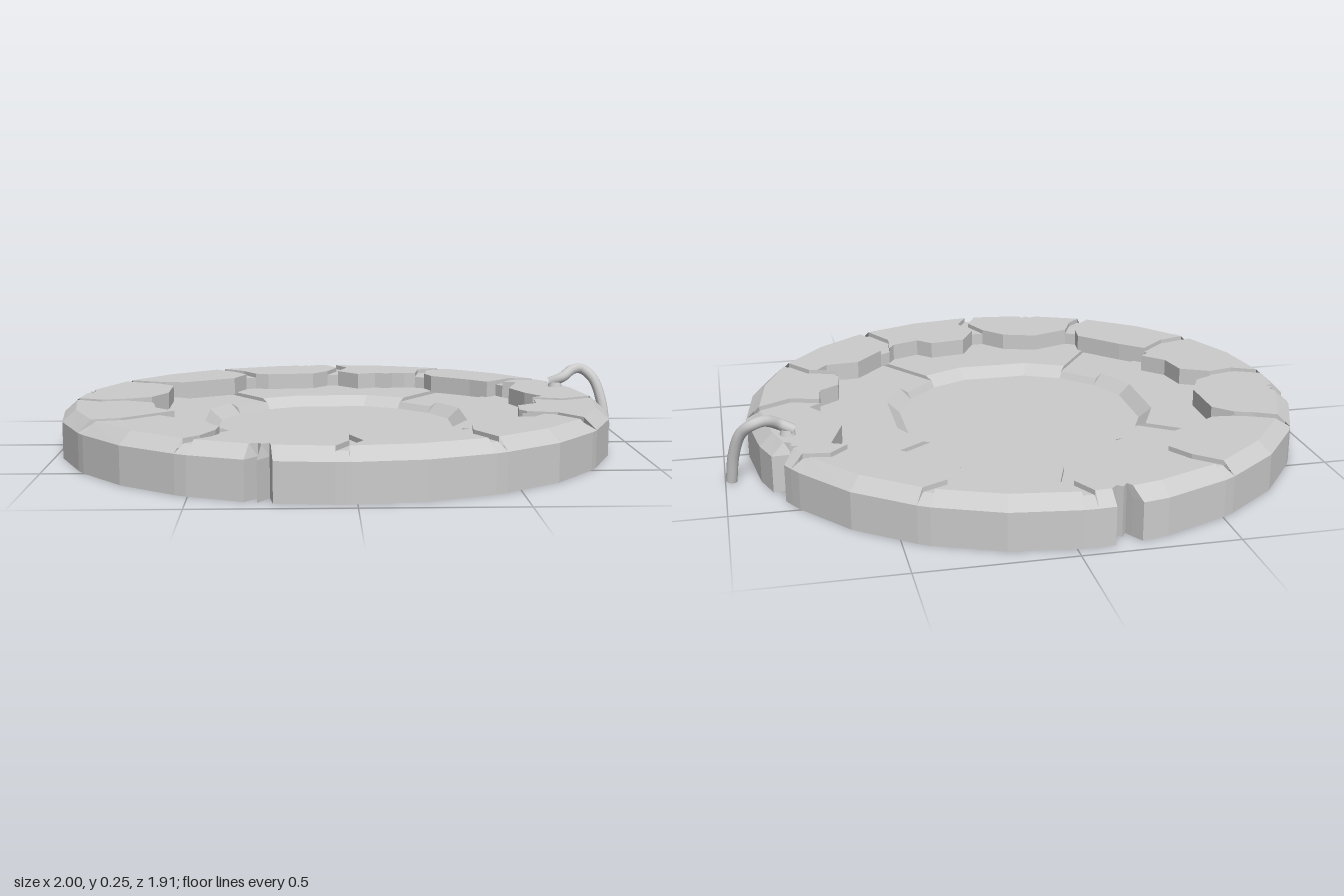
import * as THREE from 'three';

const CX = -0.043, R = 0.957, RIM = 0.912, TOP = 0.165;
const stone = new THREE.MeshStandardMaterial({ color: 0xcccccc, flatShading: true, side: THREE.DoubleSide });
const metal = new THREE.MeshStandardMaterial({ color: 0xcccccc });
const rad = THREE.MathUtils.degToRad;

// Clockwise from the back, seen from above
const polar = (deg, r) => new THREE.Vector2(Math.sin(rad(deg)) * r, -Math.cos(rad(deg)) * r);
const local = ([x, z]) => new THREE.Vector2(x - CX, z);

function meshFrom(tris, name, material = stone) {
  const g = new THREE.BufferGeometry();
  g.setAttribute('position', new THREE.Float32BufferAttribute(tris.flat(), 3));
  g.computeVertexNormals();
  const m = new THREE.Mesh(g, material);
  m.name = name;
  return m;
}
const quad = (out, a, b, c, d) => out.push(a, b, c, a, c, d);

// Open-bottomed block: chamfered outer rim down to the ground, short walls elsewhere.
// The first outerCount points of the clockwise outline lie on the rim.
function block(outline, outerCount, top, innerBase, name) {
  const out = [];
  const at = (p, y) => [p.x, y, p.y];
  const upper = outline.map((p, i) =>
    i < outerCount && p.length() > RIM ? p.clone().setLength(RIM - (TOP - top) * 0.3) : p.clone());
  outline.forEach((p, i) => {
    const j = (i + 1) % outline.length, q = outline[j];
    if (i < outerCount - 1) {
      quad(out, at(p, 0), at(p, 0.125), at(q, 0.125), at(q, 0));
      quad(out, at(p, 0.125), at(upper[i], top), at(upper[j], top), at(q, 0.125));
    } else {
      quad(out, at(upper[i], innerBase), at(upper[i], top), at(upper[j], top), at(upper[j], innerBase));
    }
  });
  for (const [a, b, c] of THREE.ShapeUtils.triangulateShape(upper, [])) {
    const A = upper[a], B = upper[b], C = upper[c];
    const up = (B.x - A.x) * (C.y - A.y) - (B.y - A.y) * (C.x - A.x) < 0;
    out.push(at(A, top), at(up ? B : C, top), at(up ? C : B, top));
  }
  return meshFrom(out, name);
}

// Zigzag joints: middle and inner points, every 30 degrees
const joints = [
  [[0, -0.83], [-0.04, -0.72]], [[0.33, -0.75], [0.31, -0.64]],
  [[0.66, -0.47], [0.6, -0.41]], [[0.76, 0.06], [0.66, 0.03]],
  [[0.68, 0.36], [0.58, 0.33]], [[0.35, 0.67], [0.36, 0.56]],
  [[0, 0.83], [-0.04, 0.73]], [[-0.45, 0.74], [-0.41, 0.65]],
  [[-0.74, 0.43], [-0.64, 0.34]], [[-0.87, 0.04], [-0.78, 0.02]],
  [[-0.76, -0.42], [-0.7, -0.4]], [[-0.42, -0.72], [-0.37, -0.64]],
];
// Broken inner edge of each stone between consecutive joints
const innerEdges = [
  [[0.06, -0.63], [0.13, -0.66], [0.18, -0.64], [0.2, -0.66], [0.25, -0.65]],
  [[0.35, -0.56], [0.49, -0.45], [0.55, -0.39]],
  [[0.66, -0.37], [0.61, -0.22], [0.65, -0.1], [0.7, -0.02]],
  [[0.65, 0.14], [0.58, 0.19], [0.57, 0.28]],
  [[0.64, 0.37], [0.6, 0.42], [0.48, 0.43]],
  [[0.32, 0.61], [0.22, 0.65], [0.17, 0.6], [0.04, 0.62]],
  [[-0.13, 0.65], [-0.25, 0.61]],
  [[-0.42, 0.57], [-0.55, 0.43]],
  [[-0.59, 0.27], [-0.66, 0.2], [-0.68, 0.09]],
  [[-0.7, -0.04], [-0.65, -0.14], [-0.65, -0.32]],
  [[-0.62, -0.41], [-0.43, -0.52]],
  [[-0.3, -0.63], [-0.12, -0.65]],
];
// Chipped notches in the rim: stone index to angle
const notches = { 2: 66.5, 6: 195, 9: 281, 11: 353 };

// One side of a joint, from rim to inner edge
function jointSide(k, sign) {
  const shift = polar(30 * k + 90, 0.021 * sign);
  const pts = joints[k % 12].map(p => local(p).add(shift));
  return [polar(30 * k, R).add(shift).setLength(R), ...pts];
}

function outerRing() {
  const ring = new THREE.Group();
  ring.name = 'outerRing';
  for (let k = 0; k < 12; k++) {
    const start = jointSide(k, 1), end = jointSide(k + 1, -1);
    const rim = [[30 * k + 15, R * 1.002]];
    const n = notches[k];
    if (n !== undefined) {
      rim.push([n - 2.8, R], [n - 1.8, 0.915], [n - 1.2, 0.89], [n, 0.91], [n + 1, 0.895], [n + 2.4, R]);
      rim.sort((a, b) => a[0] - b[0]);
    }
    const outer = [start[0], ...rim.map(([a, r]) => polar(a, r)), end[0]];
    const outline = [...outer, end[1], end[2],
      ...innerEdges[k].map(local).reverse(), start[2], start[1]];
    ring.add(block(outline, outer.length, TOP, 0.1, 'rimStone'));

    // Recessed filler in the joint
    const l = jointSide(k, -1), r = jointSide(k, 1);
    ring.add(block([l[0], r[0], r[1], r[2], l[2], l[1]], 2, 0.149, 0.1, 'jointFiller'));
  }
  return ring;
}

// Sunken inner tier: 16 wedges, the diagonal ones lower and with a steeper lip
function innerTier() {
  const out = [];
  const angles = [-16, 16, 35, 55];
  for (let q = 0; q < 4; q++) {
    angles.forEach((a, i) => {
      const b = i < 3 ? angles[i + 1] : 74;
      const low = i === 2, h = low ? 0.092 : 0.105;
      const lip = low ? 0.443 : 0.474;
      const profile = [[0.765, 0], [0.765, h], [lip, h], [0.43, 0.068], [0, 0.068]];
      const at = (deg, [r, y]) => {
        const p = polar(deg + 90 * q, r);
        return [p.x, y, p.y];
      };
      for (let s = 0; s < 4; s++) {
        quad(out, at(a, profile[s]), at(a, profile[s + 1]), at(b, profile[s + 1]), at(b, profile[s]));
      }
      // Step faces beside the lower wedges
      if (low) for (const e of [a, b]) {
        quad(out, at(e, [0.765, h]), at(e, [0.765, 0.105]), at(e, [0.474, 0.105]), at(e, [lip, h]));
        out.push(at(e, [lip, h]), at(e, [0.474, 0.105]), at(e, [0.43, 0.068]));
      }
    });
  }
  return meshFrom(out, 'innerTier');
}

// Bent hook over the rim, with a small collar at its root
function hook() {
  const g = new THREE.Group();
  g.name = 'hook';
  const path = new THREE.CatmullRomCurve3([
    [0.77, 0.18, -0.265], [0.815, 0.2, -0.255], [0.86, 0.226, -0.285], [0.9, 0.225, -0.305],
    [0.94, 0.19, -0.285], [0.967, 0.11, -0.26], [0.98, 0.01, -0.24],
  ].map(p => new THREE.Vector3(...p)));
  const tube = new THREE.Mesh(new THREE.TubeGeometry(path, 32, 0.019, 10), metal);
  tube.name = 'hookRod';
  g.add(tube);
  [0, 1].forEach(t => {
    const cap = new THREE.Mesh(new THREE.CircleGeometry(0.019, 10), metal);
    const p = path.getPointAt(t), d = path.getTangentAt(t).multiplyScalar(t ? 1 : -1);
    cap.position.copy(p);
    cap.lookAt(p.clone().add(d));
    cap.name = 'hookEnd';
    g.add(cap);
  });
  const collar = new THREE.Mesh(new THREE.CylinderGeometry(0.022, 0.028, 0.02, 10), metal);
  collar.position.set(0.79, 0.172, -0.26);
  collar.name = 'hookCollar';
  g.add(collar);
  return g;
}

export function createModel() {
  const model = new THREE.Group();
  model.name = 'stoneDisc';
  const disc = new THREE.Group();
  disc.name = 'disc';
  disc.position.x = CX;
  disc.add(outerRing(), innerTier());
  model.add(disc, hook());
  return model;
}
